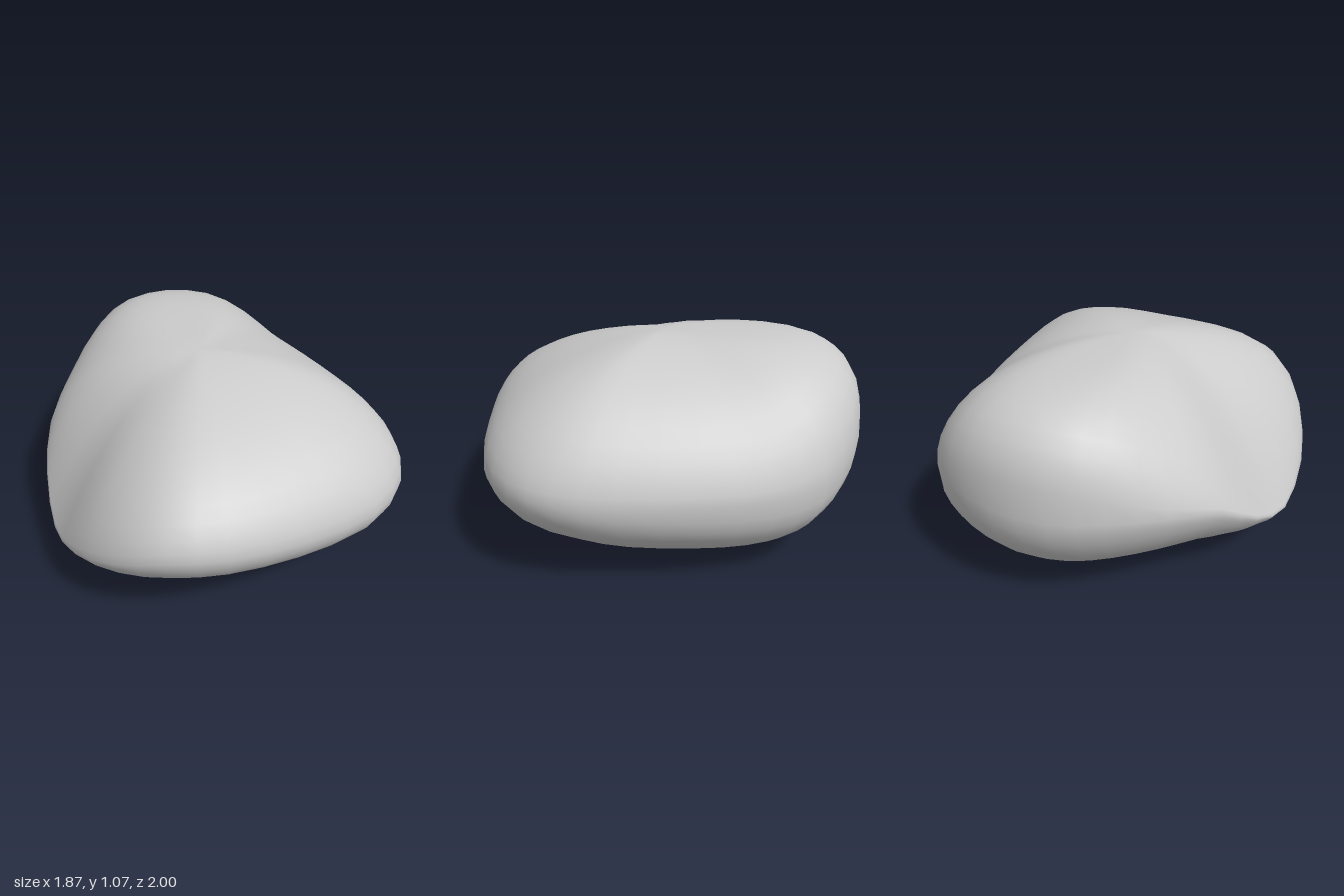
import * as THREE from 'three';

// Meridians around the boulder, clockwise from the front: rim x, z, y, then the
// roundness (n, m) of the upper slope and of the underside: h = (1 - s^n)^m
const MERIDIANS = [
  [-0.10, 1.00, 0.59, 1.4, 0.51, 1.25, 0.56],
  [-0.36, 0.93, 0.49, 1.45, 0.57, 1.3, 0.58],
  [-0.60, 0.75, 0.36, 1.6, 0.70, 1.4, 0.64],
  [-0.78, 0.50, 0.27, 2.0, 1.00, 1.7, 0.76],
  [-0.89, 0.23, 0.38, 2.2, 1.00, 1.8, 0.69],
  [-0.93, -0.02, 0.53, 2.3, 0.80, 1.8, 0.65],
  [-0.90, -0.28, 0.58, 2.7, 0.62, 1.9, 0.62],
  [-0.82, -0.54, 0.60, 4.0, 0.43, 2.0, 0.58],
  [-0.69, -0.76, 0.60, 5.4, 0.35, 2.1, 0.54],
  [-0.48, -0.92, 0.60, 5.4, 0.36, 2.2, 0.48],
  [-0.20, -1.00, 0.59, 4.2, 0.43, 2.3, 0.44],
  [0.08, -0.97, 0.53, 2.8, 0.54, 2.4, 0.42],
  [0.30, -0.82, 0.49, 2.2, 0.61, 2.3, 0.43],
  [0.53, -0.58, 0.49, 2.1, 0.61, 2.1, 0.45],
  [0.77, -0.27, 0.50, 2.1, 0.59, 1.9, 0.49],
  [0.91, -0.02, 0.52, 2.2, 0.59, 1.6, 0.51],
  [0.93, 0.22, 0.52, 2.0, 0.57, 1.5, 0.51],
  [0.80, 0.48, 0.52, 1.8, 0.54, 1.4, 0.52],
  [0.50, 0.73, 0.54, 1.6, 0.52, 1.3, 0.53],
  [0.17, 0.93, 0.58, 1.5, 0.51, 1.25, 0.55],
];
const APEX = { x: -0.1, z: 0, top: 1.07 };

// Smooth closed interpolation between neighbouring meridians
function meridianAt(u) {
  const count = MERIDIANS.length;
  const i = Math.floor(u), f = u - i;
  const row = (k) => MERIDIANS[(i + k + count) % count];
  return row(0).map((b, c) => {
    const a = row(-1)[c], d = row(1)[c], e = row(2)[c];
    return b + 0.5 * f * (d - a + f * (2 * a - 5 * b + 4 * d - e + f * (3 * (b - d) + e - a)));
  });
}

function boulderGeometry(segments = 40, half = 12) {
  const positions = [], index = [];
  const rings = half * 2;
  // Rings run from the top, out over the rim and in to the base
  for (let j = 1; j < rings; j++) {
    const upper = j <= half;
    const s = Math.min(1, Math.sin((j / rings) * Math.PI));
    for (let i = 0; i < segments; i++) {
      const [rx, rz, ry, nT, mT, nB, mB] = meridianAt((i / segments) * MERIDIANS.length);
      const h = Math.pow(Math.max(0, 1 - Math.pow(s, upper ? nT : nB)), upper ? mT : mB);
      const y = upper ? ry + (APEX.top - ry) * h : ry * (1 - h);
      positions.push(APEX.x + (rx - APEX.x) * s, y, APEX.z + (rz - APEX.z) * s);
    }
  }
  const top = positions.length / 3, base = top + 1;
  positions.push(APEX.x, APEX.top, APEX.z, APEX.x, 0, APEX.z);
  const last = (rings - 2) * segments;
  for (let i = 0; i < segments; i++) {
    const k = (i + 1) % segments;
    index.push(top, k, i, base, last + i, last + k);
    for (let j = 0; j < rings - 2; j++) {
      const a = j * segments, b = a + segments;
      index.push(a + i, a + k, b + i, a + k, b + k, b + i);
    }
  }
  const geometry = new THREE.BufferGeometry();
  geometry.setAttribute('position', new THREE.Float32BufferAttribute(positions, 3));
  geometry.setIndex(index);
  geometry.computeVertexNormals();
  return geometry;
}

export function createModel() {
  const group = new THREE.Group();
  group.name = 'rock';
  const boulder = new THREE.Mesh(
    boulderGeometry(),
    new THREE.MeshStandardMaterial({ color: 0xcccccc })
  );
  boulder.name = 'boulder';
  group.add(boulder);
  return group;
}
